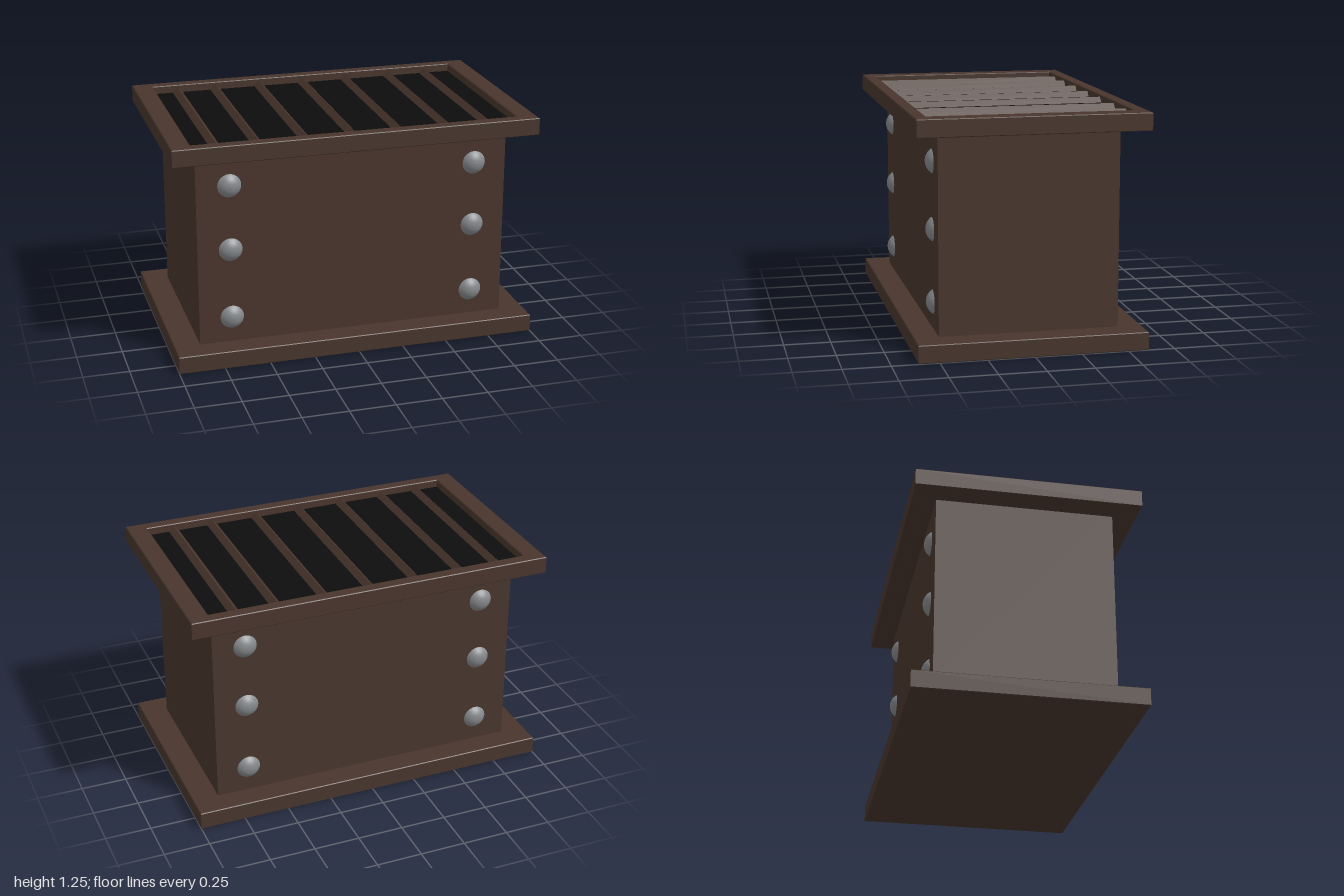
import * as THREE from 'three';

const mat = (name, color) => {
  const m = new THREE.MeshStandardMaterial({ color });
  m.name = name;
  return m;
};

export function createModel() {
  const model = new THREE.Group();
  model.name = 'grilledBox';
  const brown = mat('darkBrown', 0x49362d);
  const black = mat('black', 0x0d0d0d);
  const steel = mat('steelGrey', 0x86898c);

  const add = (name, geometry, material, x = 0, y = 0, z = 0) => {
    const mesh = new THREE.Mesh(geometry, material);
    mesh.name = name;
    mesh.position.set(x, y, z);
    model.add(mesh);
    return mesh;
  };

  const rect = (Type, w, d) => new Type([[-w, -d], [w, -d], [w, d], [-w, d]].map(p => new THREE.Vector2(...p)));

  // Flat slab with a tiny edge bevel and an optional rectangular opening
  const slab = (height, hole) => {
    const shape = rect(THREE.Shape, 1, 0.61);
    if (hole) shape.holes.push(rect(THREE.Path, ...hole));
    const b = 0.004;
    const g = new THREE.ExtrudeGeometry(shape, {
      depth: height - 2 * b, bevelThickness: b, bevelSize: b, bevelOffset: -b, bevelSegments: 1,
    });
    return g.translate(0, 0, b).rotateX(-Math.PI / 2);
  };

  // Base, body and top frame
  add('base', slab(0.097), brown);
  add('body', new THREE.BoxGeometry(1.72, 1.07, 0.96), brown, 0, 0.628, 0);
  add('topFrame', slab(0.095, [0.892, 0.543]), brown, 0, 1.158, 0);

  // Recessed floor under the grille
  add('tray', new THREE.BoxGeometry(1.79, 0.045, 1.092), brown, 0, 1.1815, 0);
  add('darkOpening', new THREE.BoxGeometry(1.786, 0.006, 1.088), black, 0, 1.207, 0);

  // Ridged grille bars: square rods turned on edge
  const side = 0.058 / Math.SQRT2;
  const bar = new THREE.BoxGeometry(side, side, 1.086).rotateZ(Math.PI / 4);
  for (const x of [-0.75, -0.53, -0.27, -0.01, 0.25, 0.515, 0.74]) {
    add('grilleBar', bar, brown, x, 1.212, 0);
  }

  // Domed rivets on front and back
  const profile = new THREE.SplineCurve([
    [0.067, -0.004], [0.06, 0.006], [0.044, 0.021], [0.024, 0.031], [0, 0.035],
  ].map(p => new THREE.Vector2(...p))).getPoints(10);
  profile[profile.length - 1].x = 0;
  const rivet = new THREE.LatheGeometry(profile, 28).rotateX(Math.PI / 2);
  for (const s of [1, -1]) {
    for (const x of [-0.68, 0.68]) {
      for (const y of [0.24, 0.63, 0.99]) {
        const mesh = add(s > 0 ? 'frontRivet' : 'backRivet', rivet, steel, x, y, s * 0.48);
        if (s < 0) mesh.rotation.y = Math.PI;
      }
    }
  }
  steel.side = THREE.DoubleSide;
  return model;
}
